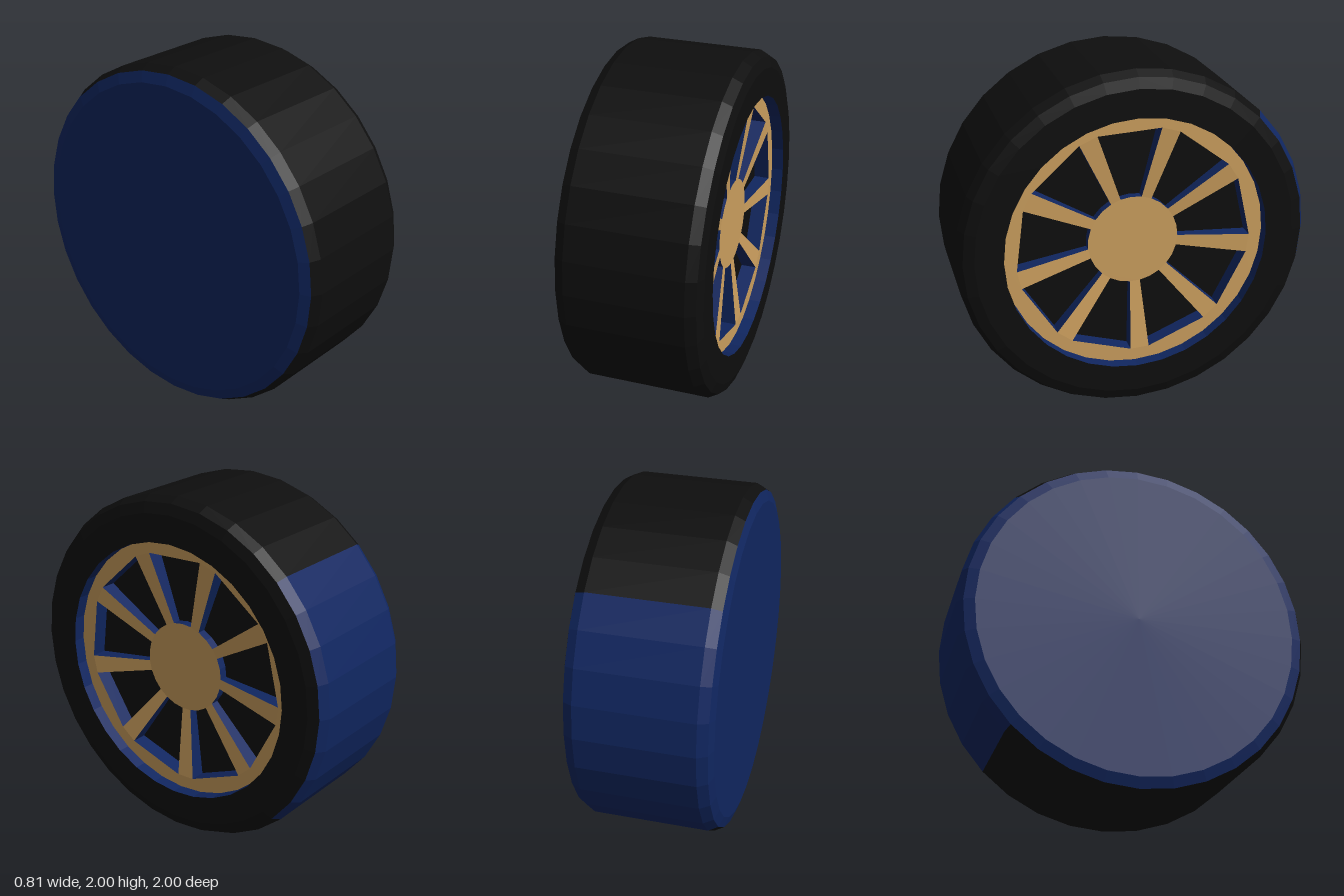
import * as THREE from 'three';

const material = (name, color) => {
  const m = new THREE.MeshStandardMaterial({ color, flatShading: true, side: THREE.DoubleSide });
  m.name = name;
  return m;
};

export function createModel() {
  const rubber = material('black rubber', 0x0e0e0e);
  const blue = material('dark blue', 0x102660);
  const gold = material('gold', 0xcc9f5e);

  // The wheel is built around local z (outer face at +z), then turned to face +x.
  const wheel = new THREE.Group();
  wheel.name = 'wheel';
  const add = (name, geometry, mat) => {
    const mesh = new THREE.Mesh(geometry, mat);
    mesh.name = name;
    wheel.add(mesh);
  };

  const SIDES = 32, RIM_R = 0.75, HUB_R = 0.26, HOLE_R = 0.677;
  const RIM_Z = 0.335, HUB_Z = 0.295, FLOOR_Z = 0.245, SPOKES = 9;

  // Surface of revolution from [radius, z] points
  const turned = (points, segments = SIDES, start = 0, length = Math.PI * 2) =>
    new THREE.LatheGeometry(points.map(p => new THREE.Vector2(...p)), segments, start, length).rotateX(Math.PI / 2);

  // Tyre: the tread has one blue quarter at the back
  const tread = [[0.97, -0.385], [1, -0.33], [1, 0.33], [0.97, 0.385]];
  add('tread', turned(tread, 24, Math.PI * 0.75, Math.PI * 1.5), rubber);
  add('treadBackQuarter', turned(tread, 8, Math.PI / 4, Math.PI / 2), blue);
  add('outerSidewall', turned([[0.97, 0.385], [0.91, 0.405], [RIM_R, 0.405]]), rubber);
  add('innerSide', turned([[0, -0.405], [0.91, -0.405], [0.97, -0.385]]), blue);

  // Recess that holds the rim
  add('recessWall', turned([[RIM_R, 0.405], [RIM_R, RIM_Z]]), blue);
  add('recessFloor', turned([[0, FLOOR_Z], [RIM_R, FLOOR_Z]]), rubber);

  const polar = (r, degrees) => {
    const a = THREE.MathUtils.degToRad(degrees);
    return new THREE.Vector2(r * Math.cos(a), r * Math.sin(a));
  };
  const at = (p, z) => new THREE.Vector3(p.x, p.y, z);
  const quads = list => {
    const corners = list.flatMap(([a, b, c, d]) => [a, b, c, a, c, d]);
    const geometry = new THREE.BufferGeometry().setFromPoints(corners);
    geometry.computeVertexNormals();
    return geometry;
  };

  // Spokes and the walls of the openings between them
  const hubEdge = [], holeEdge = [], spokes = [], walls = [];
  const step = 360 / SPOKES, halfIn = 6.5, halfOut = 4.6;
  for (let i = 0; i < SPOKES; i++) {
    const a = 112.7 + i * step;
    const next = a + step;
    const inner = [polar(HUB_R, a + halfIn), polar(HUB_R, a + step / 2), polar(HUB_R, next - halfIn)];
    const outer = [polar(HOLE_R, a + halfOut), polar(HOLE_R, next - halfOut)];
    hubEdge.push(...inner);
    holeEdge.push(...outer);
    spokes.push([
      at(polar(HUB_R, a - halfIn), HUB_Z), at(polar(HOLE_R, a - halfOut), RIM_Z),
      at(outer[0], RIM_Z), at(inner[0], HUB_Z),
    ]);
    const loop = [...inner.map(p => at(p, HUB_Z)), at(outer[1], RIM_Z), at(outer[0], RIM_Z)];
    loop.forEach((p, k) => {
      const q = loop[(k + 1) % loop.length];
      walls.push([p, q, at(q, FLOOR_Z), at(p, FLOOR_Z)]);
    });
  }
  add('spokes', quads(spokes), gold);
  add('openingWalls', quads(walls), blue);

  // Flat hub and rim ring
  add('hub', new THREE.ShapeGeometry(new THREE.Shape(hubEdge)).translate(0, 0, HUB_Z), gold);
  const ring = new THREE.Shape(Array.from({ length: SIDES }, (_, i) => polar(RIM_R, i * 360 / SIDES)));
  ring.holes.push(new THREE.Path(holeEdge));
  add('rimRing', new THREE.ShapeGeometry(ring).translate(0, 0, RIM_Z), gold);

  wheel.rotation.y = Math.PI / 2;
  wheel.position.y = 1;
  const model = new THREE.Group();
  model.name = 'carWheel';
  model.add(wheel);
  return model;
}
